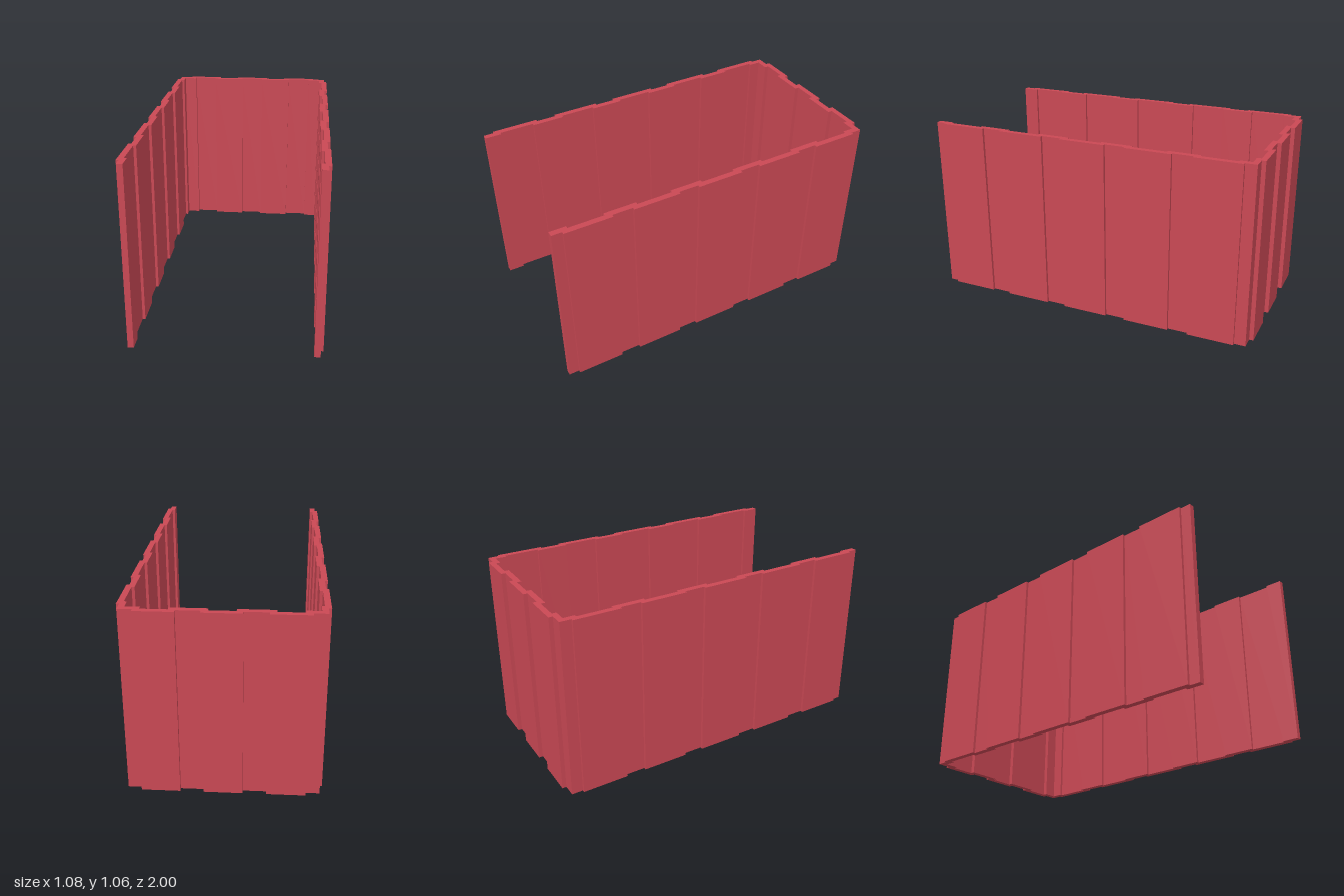
import * as THREE from 'three';

const HEIGHT = 1.058;

// Stepped line along a wall: "low" level outside the pans, "high" level on them.
// Returns [position along wall, level] pairs.
function stepped(start, end, pans, low, high) {
  const pts = [[start, low]];
  for (const [a, b] of pans) pts.push([a, low], [a, high], [b, high], [b, low]);
  pts.push([end, low]);
  return pts;
}

export function createModel() {
  const group = new THREE.Group();
  const material = new THREE.MeshStandardMaterial({ color: 0xc94854 });

  // Raised pans of the side wall (along z, front to back) and of the back wall (along x)
  const lap = 0.035;
  const sidePans = [];
  for (let i = 0; i < 5; i++) {
    const z = 0.94 - i * 0.3938;
    sidePans.push([z, z - 0.275]);
  }
  const backPans = [0.34, 0, -0.34].map((x) => [x + 0.106, x - 0.106]);
  const inset = (pans) => pans.map(([a, b]) => [a - lap, b + lap]);
  const flipX = (pts) => pts.map(([x, z]) => [-x, z]).reverse();

  // Outer and inner faces of the walls
  const outerSide = stepped(1, -0.976, sidePans, 0.523, 0.539).map(([z, x]) => [x, z]);
  const innerSide = stepped(1, -0.942, inset(sidePans), 0.489, 0.505).map(([z, x]) => [x, z]);
  const outerBack = stepped(0.523, -0.523, backPans, -0.976, -1).slice(1, -1);
  const innerBack = stepped(0.489, -0.489, inset(backPans), -0.942, -0.967).slice(1, -1);

  // Closed plan of the three-sided corrugated wall
  const outer = [...outerSide, ...outerBack, ...flipX(outerSide)];
  const inner = [...innerSide, ...innerBack, ...flipX(innerSide)];
  const plan = [...outer, ...inner.reverse()].map(([x, z]) => new THREE.Vector2(x, -z));

  const geometry = new THREE.ExtrudeGeometry(new THREE.Shape(plan), {
    depth: HEIGHT,
    bevelEnabled: false,
  });
  geometry.rotateX(-Math.PI / 2);

  const wall = new THREE.Mesh(geometry, material);
  wall.name = 'corrugatedWall';
  group.add(wall);
  return group;
}
